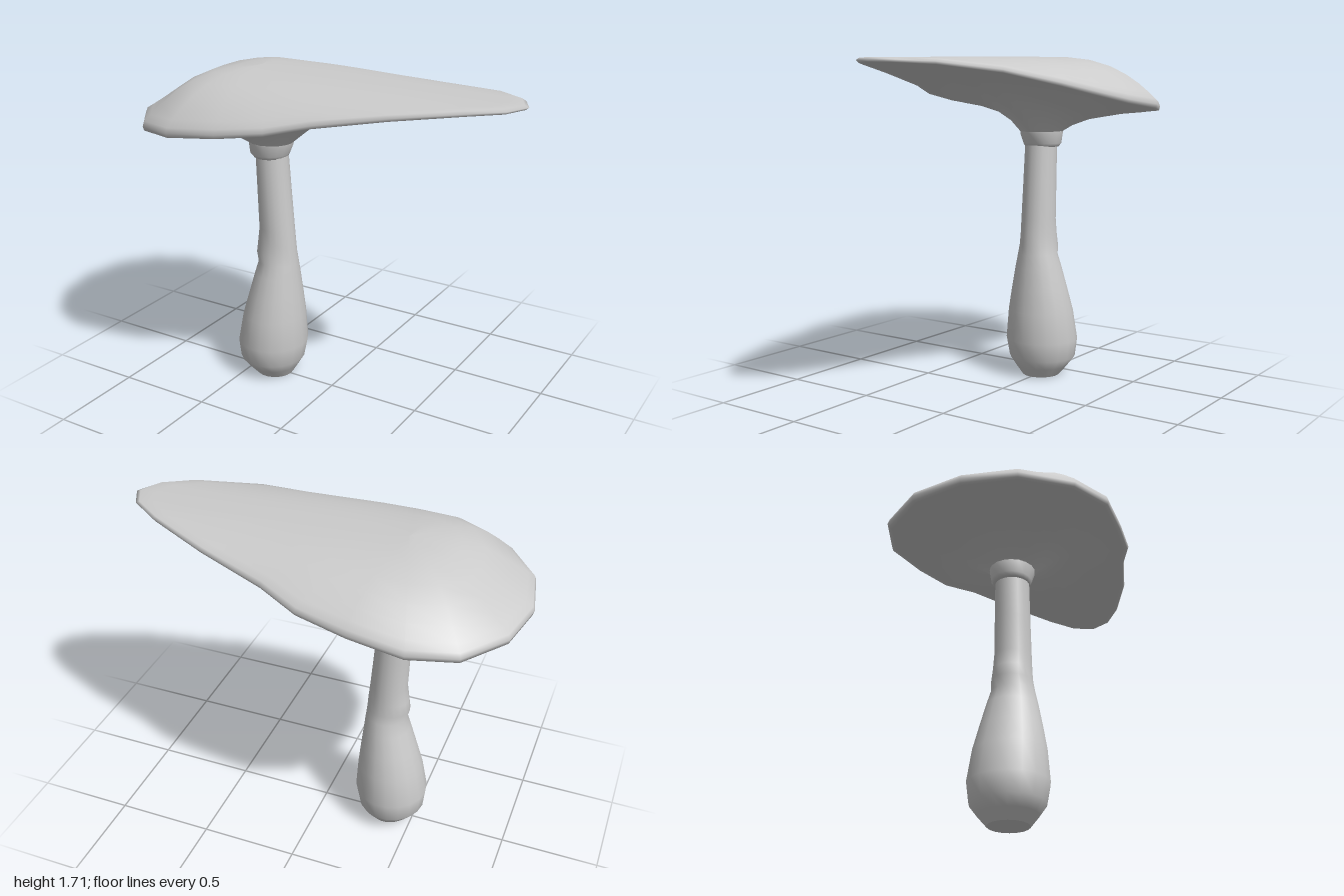
import * as THREE from 'three';

// Piecewise-linear lookup through [position, value] pairs
function lookup(pairs, x) {
  if (x <= pairs[0][0]) return pairs[0][1];
  for (let i = 1; i < pairs.length; i++) {
    const [x0, y0] = pairs[i - 1], [x1, y1] = pairs[i];
    if (x <= x1) return y0 + (y1 - y0) * (x - x0) / (x1 - x0);
  }
  return pairs[pairs.length - 1][1];
}

// Skin closed rings of [x, y, z] points, listed from top to bottom
function loft(rings, name) {
  const n = rings[0].length, index = [];
  for (let i = 0; i < rings.length - 1; i++) {
    for (let j = 0; j < n; j++) {
      const k = (j + 1) % n;
      const a = i * n + j, b = i * n + k, c = a + n, d = b + n;
      index.push(a, b, c, b, d, c);
    }
  }
  const geo = new THREE.BufferGeometry();
  geo.setAttribute('position', new THREE.Float32BufferAttribute(rings.flat(2), 3));
  geo.setIndex(index);
  geo.computeVertexNormals();
  const mesh = new THREE.Mesh(geo, new THREE.MeshStandardMaterial({ color: 0xcccccc, side: THREE.DoubleSide }));
  mesh.name = name;
  return mesh;
}

// Saddle half width, rim height and crown height along x
const halfWidth = [[-1, 0], [-0.95, 0.265], [-0.79, 0.48], [-0.57, 0.572], [-0.3, 0.555], [-0.05, 0.522],
  [0.15, 0.44], [0.49, 0.345], [0.8, 0.21], [0.945, 0.11], [1, 0]];
const rimHeight = [[-1, 1.43], [-0.78, 1.43], [-0.57, 1.45], [-0.3, 1.48], [-0.05, 1.52], [0.15, 1.565],
  [0.49, 1.625], [0.8, 1.66], [1, 1.67]];
const crownHeight = [[-1, 1.47], [-0.84, 1.56], [-0.69, 1.665], [-0.6, 1.695], [-0.45, 1.715], [0, 1.71],
  [0.5, 1.7], [1, 1.69]];
const underCurve = [[0, 0], [0.1, 0.29], [0.27, 0.59], [0.6, 0.85], [1, 1]];

const rimThickness = (x) => 0.043 - 0.01 * (x + 1);

function saddle() {
  // Plan outline, starting at the nose and running round through +z
  const side = halfWidth.slice().reverse();
  const outline = [...side, ...side.slice(1, -1).reverse().map(([x, z]) => [x, -z])];
  const cx = -0.4;
  const rings = [];

  // Domed top, growing from the middle of the crown to the rim
  for (const f of [0.001, 0.2, 0.4, 0.58, 0.72, 0.84, 0.93, 0.985]) {
    rings.push(outline.map(([ox, oz]) => {
      const x = cx + (ox - cx) * f, z = oz * f;
      const t = Math.min(1, Math.abs(z) / Math.max(lookup(halfWidth, x), 0.001));
      const rim = lookup(rimHeight, x) + rimThickness(x);
      return [x, rim + (lookup(crownHeight, x) - rim) * (1 - t ** 3), z];
    }));
  }
  // Rounded rim
  for (const [f, h] of [[1, 0.55], [0.99, 0.02], [0.96, 0]]) {
    rings.push(outline.map(([x, z]) =>
      [cx + (x - cx) * f, lookup(rimHeight, x) + rimThickness(x) * h, z * f]));
  }
  // Flared underside, running in to the collar
  for (const s of [0.8, 0.6, 0.4, 0.27, 0.1, 0]) {
    rings.push(outline.map(([x, z]) => {
      const a = Math.atan2(z, x + 0.36);
      const ix = -0.36 + 0.117 * Math.cos(a), iz = 0.112 * Math.sin(a);
      const y = 1.325 + (lookup(rimHeight, x) - 1.325) * lookup(underCurve, s);
      return [ix + (x - ix) * s, y, iz + (z - iz) * s];
    }));
  }
  return loft(rings, 'saddle');
}

// Upright part from rows of [y, xMin, xMax, zHalf]
function column(rows, name) {
  const sides = 18;
  return loft(rows.map(([y, x0, x1, rz]) => Array.from({ length: sides }, (_, j) => {
    const a = j / sides * Math.PI * 2;
    return [(x0 + x1) / 2 + (x1 - x0) / 2 * Math.cos(a), y, rz * Math.sin(a)];
  })), name);
}

export function createModel() {
  const group = new THREE.Group();
  group.name = 'saddleStool';
  group.add(saddle());

  // Collar with a small step down to the stem
  group.add(column([
    [1.345, -0.477, -0.243, 0.112], [1.315, -0.477, -0.243, 0.112], [1.262, -0.472, -0.265, 0.1],
    [1.245, -0.455, -0.275, 0.09], [1.245, -0.42, -0.3, 0.06],
  ], 'collar'));

  // Stem swelling into a bulb, with a slight bump on one side
  group.add(column([
    [1.3, -0.442, -0.272, 0.085], [1.24, -0.442, -0.27, 0.085], [1.05, -0.436, -0.256, 0.088],
    [0.86, -0.43, -0.241, 0.091], [0.78, -0.442, -0.233, 0.094], [0.72, -0.45, -0.229, 0.1],
    [0.67, -0.436, -0.224, 0.107], [0.6, -0.458, -0.217, 0.125], [0.48, -0.494, -0.205, 0.152],
    [0.36, -0.53, -0.194, 0.177], [0.2, -0.562, -0.185, 0.195], [0.1, -0.552, -0.205, 0.18],
    [0.05, -0.51, -0.235, 0.143], [0, -0.468, -0.265, 0.1],
  ], 'stem'));

  // Flat foot closing the bulb
  group.add(column([[0, -0.468, -0.265, 0.1], [0, -0.367, -0.366, 0.001]], 'foot'));
  return group;
}
